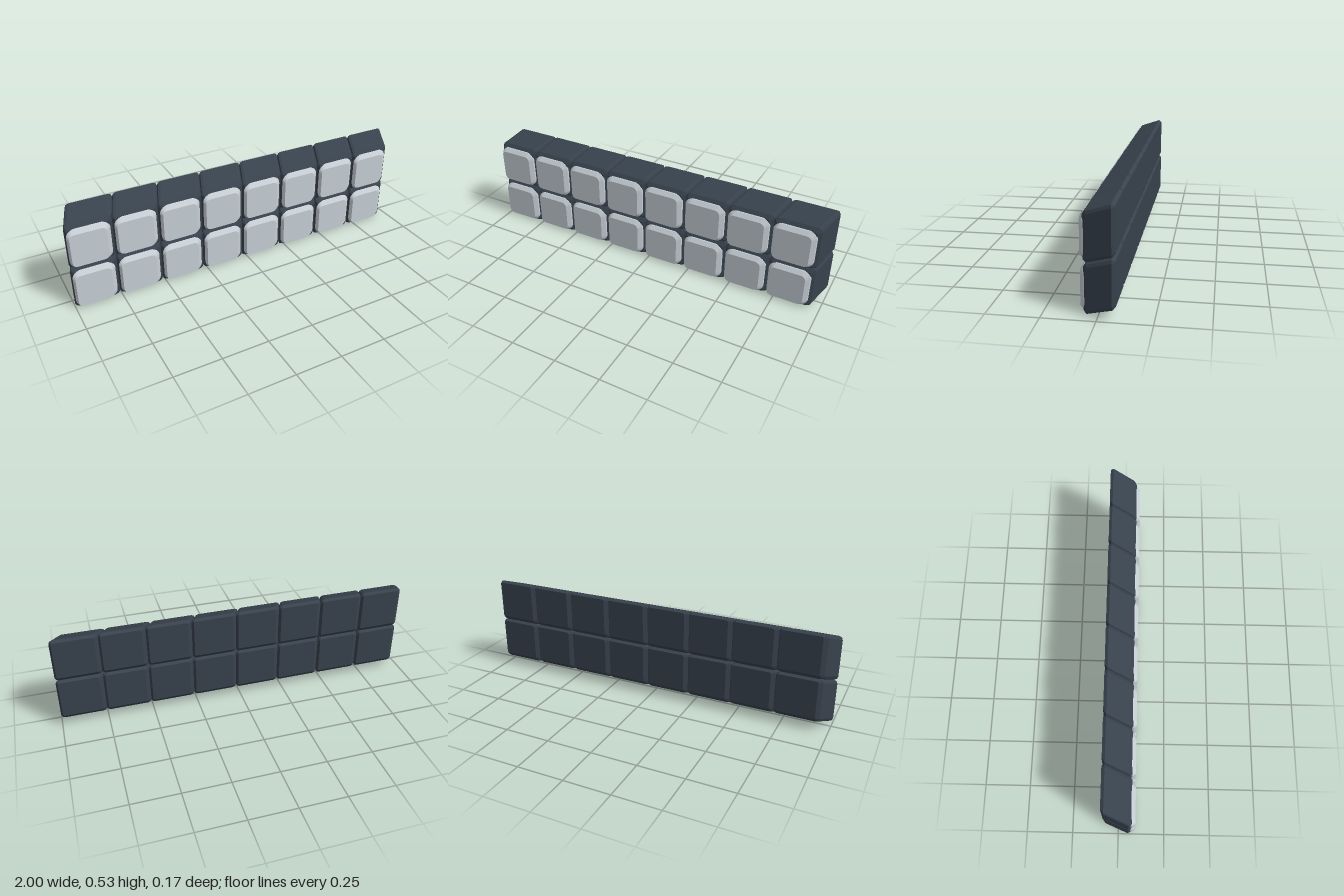
import * as THREE from 'three';

const PITCH = 0.2437; // size of one cell
const SHEAR = 0.39;   // sideways and upward lean towards the back
const COLS = 8, ROWS = 2;

function roundedSquare(w, h, r) {
  const x = w / 2, y = h / 2, s = new THREE.Shape();
  s.absarc(x - r, y - r, r, 0, Math.PI / 2);
  s.absarc(-x + r, y - r, r, Math.PI / 2, Math.PI);
  s.absarc(-x + r, -y + r, r, Math.PI, Math.PI * 1.5);
  s.absarc(x - r, -y + r, r, Math.PI * 1.5, Math.PI * 2);
  s.closePath();
  return s;
}

// Bevelled block between two depths, leaning along both x and y
function leaningBlock(w, h, r, bevel, zBack, zFront, segments) {
  const geo = new THREE.ExtrudeGeometry(roundedSquare(w, h, r), {
    depth: zFront - zBack - 2 * bevel, curveSegments: segments,
    bevelEnabled: true, bevelThickness: bevel, bevelSize: bevel,
    bevelOffset: -bevel, bevelSegments: 1,
  });
  geo.translate(0, 0, zBack + bevel);
  const p = geo.attributes.position;
  for (let i = 0; i < p.count; i++) {
    const lean = -SHEAR * (p.getZ(i) + 0.009);
    p.setXY(i, p.getX(i) + lean, p.getY(i) + lean);
  }
  geo.computeVertexNormals();
  return geo;
}

export function createModel() {
  const model = new THREE.Group();
  model.name = 'blockPanel';
  const dark = new THREE.MeshStandardMaterial({ color: 0x38424d });
  const light = new THREE.MeshStandardMaterial({ color: 0xc8d0d6 });

  // Dark housing block and the pale key core set into it
  const housingGeo = leaningBlock(PITCH, PITCH, 0.02, 0.016, -0.086, 0.068, 1);
  const keyGeo = leaningBlock(0.222, 0.217, 0.042, 0.016, -0.085, 0.086, 4);

  for (let row = 0; row < ROWS; row++) {
    for (let col = 0; col < COLS; col++) {
      const cell = new THREE.Group();
      cell.name = `cell_${row}_${col}`;
      const housing = new THREE.Mesh(housingGeo, dark);
      housing.name = 'housing';
      const key = new THREE.Mesh(keyGeo, light);
      key.name = 'key';
      cell.add(housing, key);
      cell.position.set((col - (COLS - 1) / 2) * PITCH, 0.268 + (row - 0.5) * PITCH, 0);
      model.add(cell);
    }
  }
  return model;
}
